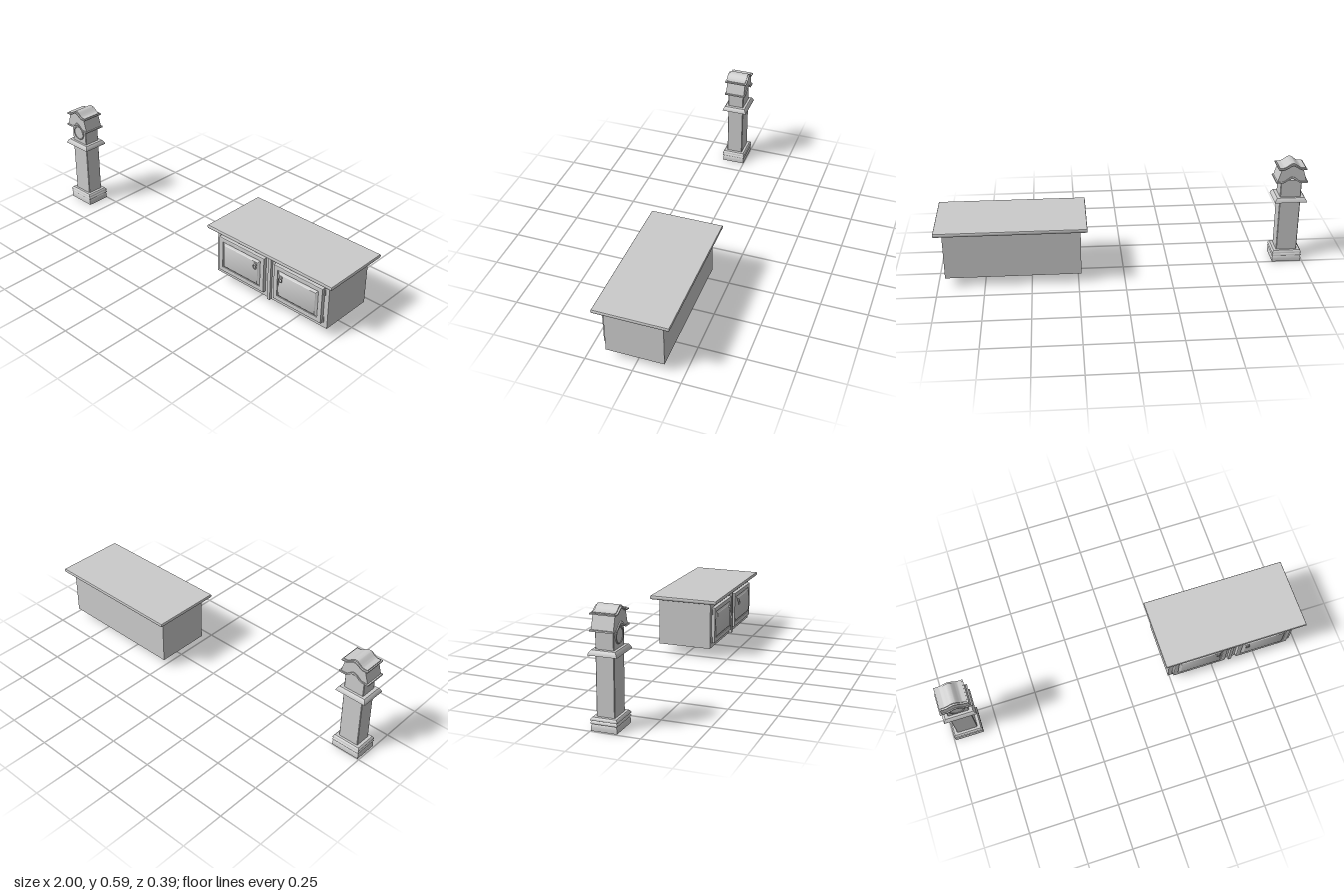
import * as THREE from 'three';
import { toCreasedNormals } from 'three/addons/utils/BufferGeometryUtils.js';

const material = new THREE.MeshStandardMaterial({ color: 0xcccccc });

function add(parent, name, geometry, x = 0, y = 0, z = 0) {
  const mesh = new THREE.Mesh(geometry, material);
  mesh.name = name;
  mesh.position.set(x, y, z);
  parent.add(mesh);
  return mesh;
}

// Rectangular moulding: rings of [halfX, halfZ, y] from bottom to top, capped at both ends.
function moulding(rings) {
  const pos = [];
  const corners = ([a, b, y]) => [[a, y, b], [a, y, -b], [-a, y, -b], [-a, y, b]];
  const quad = (a, b, c, d) => pos.push(...a, ...b, ...c, ...a, ...c, ...d);
  for (let i = 0; i < rings.length - 1; i++) {
    const lo = corners(rings[i]), hi = corners(rings[i + 1]);
    for (let k = 0; k < 4; k++) {
      const n = (k + 1) % 4;
      quad(lo[k], lo[n], hi[n], hi[k]);
    }
  }
  const [a, b, c, d] = corners(rings[0]);
  quad(d, c, b, a);
  quad(...corners(rings[rings.length - 1]));
  const g = new THREE.BufferGeometry();
  g.setAttribute('position', new THREE.Float32BufferAttribute(pos, 3));
  g.computeVertexNormals();
  return toCreasedNormals(g, 0.6);
}

// Moulding rings from a profile of [inset, y] pairs.
const inset = (hx, hz, profile) => profile.map(([d, y]) => [hx - d, hz - d, y]);

// Points of a bell-shaped line: flat wings with a rounded hump in the middle.
function bell(half, y, hump, humpHalf = 0.052) {
  const pts = [];
  for (let i = 0; i <= 28; i++) {
    const x = -half + (2 * half * i) / 28;
    const t = Math.min(1, Math.abs(x) / humpHalf);
    pts.push(new THREE.Vector2(x, y + hump * 0.5 * (1 + Math.cos(Math.PI * t))));
  }
  return pts;
}

// Solid between two bell lines, extruded along z and centred.
function bellSolid(lower, upper, halfDepth) {
  const shape = new THREE.Shape([...lower, ...upper.slice().reverse()]);
  const g = new THREE.ExtrudeGeometry(shape, { depth: 2 * halfDepth, bevelEnabled: false });
  g.translate(0, 0, -halfDepth);
  return toCreasedNormals(g, 0.6);
}

function createClock() {
  const clock = new THREE.Group();
  clock.name = 'longcaseClock';
  clock.position.set(-0.9125, 0, 0.066);

  // Stepped plinth
  add(clock, 'plinth', moulding(inset(0.08, 0.065,
    [[0, 0], [0, 0.022], [0.002, 0.028], [0.005, 0.032], [0.009, 0.034]])));
  const step = inset(0.081, 0.067, [[0.002, 0], [0, 0.001], [0, 0.005], [0.003, 0.011], [0.008, 0.016]]);
  add(clock, 'lowerPlinthStep', moulding(step), 0, 0.034);
  add(clock, 'upperPlinthStep', moulding(step), 0, 0.05);

  // Chamfered trunk and hood
  const column = new THREE.Shape();
  const hx = 0.057, hz = 0.046, c = 0.003;
  column.setFromPoints([[hx, -hz + c], [hx, hz - c], [hx - c, hz], [-hx + c, hz], [-hx, hz - c],
    [-hx, -hz + c], [-hx + c, -hz], [hx - c, -hz]].map(p => new THREE.Vector2(...p)));
  const columnGeometry = height =>
    new THREE.ExtrudeGeometry(column, { depth: height, bevelEnabled: false }).rotateX(-Math.PI / 2);
  add(clock, 'trunk', columnGeometry(0.31), 0, 0.06);
  add(clock, 'waistMoulding', moulding(inset(0.0875, 0.072,
    [[0, 0.363], [0.001, 0.367], [0.004, 0.375], [0.008, 0.381], [0.013, 0.387]])));
  add(clock, 'hood', columnGeometry(0.105), 0, 0.38);

  // Round dial with a rim
  const dial = new THREE.LatheGeometry([[0, 0.003], [0.034, 0.003], [0.036, 0.006], [0.039, 0.006],
    [0.041, 0.004], [0.041, -0.002]].map(p => new THREE.Vector2(...p)).reverse(), 40);
  add(clock, 'dial', toCreasedNormals(dial.rotateX(Math.PI / 2), 0.5), 0, 0.446, 0.046);

  // Arched crown with tapering sides
  add(clock, 'lowerCornice', bellSolid(bell(0.0865, 0.475, 0.025), bell(0.0865, 0.483, 0.028), 0.06));
  add(clock, 'crown', bellSolid(bell(0.08, 0.479, 0.025), bell(0.057, 0.556, 0.02), 0.0545));
  add(clock, 'upperCornice', bellSolid(bell(0.076, 0.551, 0.022), bell(0.076, 0.557, 0.023), 0.0635));
  add(clock, 'roof', bellSolid(bell(0.07, 0.555, 0.023), bell(0.07, 0.562, 0.026), 0.0545));
  return clock;
}

function rectanglePath(hx, hy, path) {
  return path.moveTo(-hx, -hy).lineTo(hx, -hy).lineTo(hx, hy).lineTo(-hx, hy).closePath();
}

// Door centred on its own origin, lying on the cabinet front; side is +1 for the model's left.
function createDoor(side) {
  const door = new THREE.Group();
  door.name = side > 0 ? 'leftDoor' : 'rightDoor';
  const hx = 0.152, hy = 0.102;

  const frame = rectanglePath(hx - 0.005, hy - 0.005, new THREE.Shape());
  frame.holes.push(rectanglePath(hx - 0.021, hy - 0.021, new THREE.Path()));
  add(door, 'doorFrame', new THREE.ExtrudeGeometry(frame,
    { depth: 0.015, bevelThickness: 0.005, bevelSize: 0.005, bevelSegments: 2 }));
  // Raised and fielded panel
  add(door, 'doorPanel', moulding(inset(hx - 0.018, hy - 0.018,
    [[0, 0], [0, 0.008], [0.006, 0.013], [0.018, 0.021], [0.021, 0.024]])).rotateX(Math.PI / 2));

  // Hinges on the outer edge
  for (const y of [-0.083, 0.078]) {
    add(door, 'hinge', new THREE.CylinderGeometry(0.004, 0.004, 0.032, 12), side * (hx + 0.003), y, 0.003);
  }

  // Knob with a hanging drop pull near the inner edge
  const handle = new THREE.Group();
  handle.name = 'handle';
  handle.position.set(side * -0.1, 0.05, 0.022);
  add(handle, 'knob', new THREE.CylinderGeometry(0.009, 0.011, 0.008, 20).rotateX(Math.PI / 2), 0, 0, 0.002);
  add(handle, 'knobTip', new THREE.SphereGeometry(0.005, 14, 10), 0, 0, 0.006);
  add(handle, 'dropPull', new THREE.TorusGeometry(0.01, 0.0028, 8, 24), 0, -0.014, 0.008).scale.y = 1.15;
  door.add(handle);
  return door;
}

function createCabinet() {
  const cabinet = new THREE.Group();
  cabinet.name = 'cabinet';
  cabinet.position.x = 0.597;

  add(cabinet, 'cabinetBody', new THREE.BoxGeometry(0.724, 0.265, 0.305), 0, 0.1875, 0.0005);
  add(cabinet, 'centreStile', new THREE.BoxGeometry(0.018, 0.262, 0.015), 0, 0.186, 0.16);
  // Counter top with a rounded lower edge
  add(cabinet, 'counterTop', moulding(inset(0.4, 0.196,
    [[0.01, 0.318], [0.005, 0.3195], [0.0015, 0.323], [0, 0.328], [0, 0.337], [0.002, 0.34]])), 0.003, 0, 0.0005);

  for (const side of [1, -1]) {
    const door = createDoor(side);
    door.position.set(side * 0.184, 0.185, 0.153);
    cabinet.add(door);
  }
  return cabinet;
}

export function createModel() {
  const model = new THREE.Group();
  model.name = 'furnitureSet';
  model.add(createClock(), createCabinet());
  return model;
}
